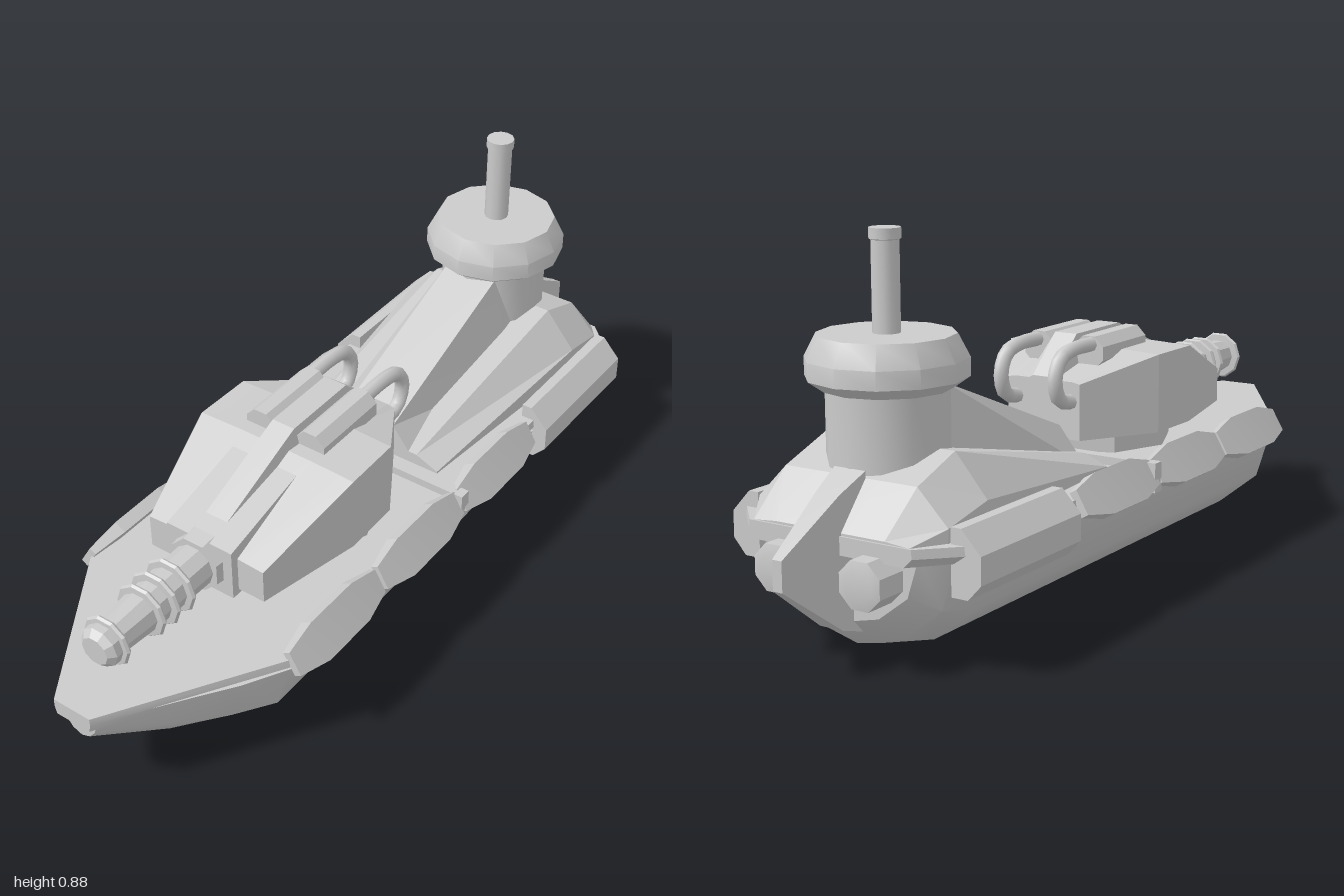
import * as THREE from 'three';
import { toCreasedNormals } from 'three/addons/utils/BufferGeometryUtils.js';

const mat = new THREE.MeshStandardMaterial({ color: 0xcccccc });

function add(parent, name, geometry, x = 0, y = 0, z = 0, crease = 0.6) {
  const mesh = new THREE.Mesh(toCreasedNormals(geometry, crease), mat);
  mesh.name = name;
  mesh.position.set(x, y, z);
  parent.add(mesh);
  return mesh;
}

// Solid through convex rings, ordered by rising z, each counter-clockwise seen from +z
function loft(rings) {
  const n = rings[0].length, idx = [];
  rings.forEach((_, k) => {
    if (k === 0) return;
    for (let i = 0; i < n; i++) {
      const j = (i + 1) % n, a = (k - 1) * n, b = k * n;
      idx.push(a + i, a + j, b + j, a + i, b + j, b + i);
    }
  });
  const last = (rings.length - 1) * n;
  for (let i = 1; i < n - 1; i++) idx.push(0, i + 1, i, last, last + i, last + i + 1);
  const g = new THREE.BufferGeometry();
  g.setAttribute('position', new THREE.Float32BufferAttribute(rings.flat(2), 3));
  g.setIndex(idx);
  return g.toNonIndexed();
}

// Ring mirrored from its +x half, listed bottom to top
const sym = (z, half) => [
  ...half.map(([x, y]) => [x, y, z]),
  ...half.filter(([x]) => x > 0).reverse().map(([x, y]) => [-x, y, z]),
];

// Lathe profile of [radius, distance] pairs turned to run along z
const latheZ = (pts, sides) =>
  new THREE.LatheGeometry(pts.map(([r, d]) => new THREE.Vector2(r, d)), sides)
    .rotateY(Math.PI / sides).rotateX(Math.PI / 2);

function buildHull(g) {
  const section = [[0, 0], [0.14, 0.14], [0.245, 0.48], [0.285, 1]];
  const stations = [[-0.81, 0.7, 0.085], [-0.76, 0.9, 0.025], [-0.68, 1, 0], [0.62, 1, 0],
    [0.72, 0.8, 0.035], [0.8, 0.6, 0.07], [0.98, 0.165, 0.185]];
  add(g, 'hull', loft(stations.map(([z, w, y]) =>
    sym(z, section.map(([x, t]) => [x * w, y + (0.25 - y) * t])))), 0, 0, 0, 0.7);
  // Deck slab with an undercut edge
  const edge = [[-0.845, 0.21], [-0.77, 0.285], [0.62, 0.29], [1, 0.05]];
  add(g, 'deck', loft(edge.map(([z, w]) =>
    sym(z, [[w * 0.9, 0.24], [w, 0.26], [w * 0.99, 0.28]]))), 0, 0, 0, 0.3);
  add(g, 'crossBar', new THREE.BoxGeometry(0.62, 0.07, 0.03), 0, 0.265, -0.035);
}

function buildSides(g) {
  for (const s of [1, -1]) {
    // Tilted side fenders with tapered ends
    for (const z of [0.465, 0.135, -0.195]) {
      const ring = (dz, k) => [[-1, -1], [1, -1], [1, 1], [-1, 1]]
        .map(([a, b]) => [a * 0.016 * k, b * 0.05 * k, dz]);
      const f = add(g, 'fender', loft([ring(-0.16, 0.6), ring(-0.075, 1), ring(0.075, 1),
        ring(0.16, 0.6)]), s * 0.292, 0.272, z, 0.1);
      f.rotation.z = s * 0.53;
    }
    // Rear side pods
    const pod = [[0.25, 0.17], [0.29, 0.17], [0.322, 0.205], [0.322, 0.265], [0.275, 0.315], [0.25, 0.315]]
      .map(([x, y]) => [s * x, y]);
    if (s < 0) pod.reverse();
    add(g, 'sidePod', loft([-0.77, -0.395].map(z => pod.map(([x, y]) => [x, y, z]))), 0, 0, 0, 0.3);
    // Stern thrusters
    add(g, 'thruster', latheZ([[0, -0.89], [0.035, -0.89], [0.055, -0.885], [0.055, -0.76], [0, -0.76]]
      .map(([r, d]) => [r, d]), 8), s * 0.11, 0.2, 0, 0.3);
  }
}

function buildTurret(g) {
  const t = new THREE.Group();
  t.name = 'turret';
  g.add(t);
  add(t, 'turretBase', new THREE.CylinderGeometry(0.19, 0.19, 0.07, 8), 0, 0.305, 0.2, 0.3);
  const body = (z, w, top, wTop) => sym(z, [[w, 0.325], [w, top], [wTop, top + 0.004]]);
  add(t, 'turretBody', loft([body(-0.04, 0.1, 0.46, 0.08), body(0.14, 0.212, 0.515, 0.1),
    body(0.29, 0.215, 0.515, 0.1), body(0.55, 0.16, 0.41, 0.09)]), 0, 0, 0, 0.1);
  add(t, 'ridge', loft([[-0.04, 0.46, 0.47], [0.06, 0.47, 0.56], [0.26, 0.48, 0.56], [0.55, 0.4, 0.44]]
    .map(([z, lo, hi]) => sym(z, [[0.048, lo], [0.03, hi]]))), 0, 0, 0, 0.1);
  add(t, 'mantlet', loft([[0.28, 0.515], [0.57, 0.442]]
    .map(([z, top]) => sym(z, [[0.09, 0.312], [0.09, top]]))), 0, 0, 0, 0.1);

  // Gun barrel with cooling rings
  add(t, 'barrelCollar', latheZ([[0, 0.55], [0.073, 0.55], [0.068, 0.59], [0, 0.59]], 8), 0, 0.38, 0, 0.3);
  add(t, 'barrel', latheZ([[0, 0.57], [0.053, 0.57], [0.05, 0.76], [0.043, 0.86], [0.043, 0.875],
    [0.05, 0.88], [0.05, 0.9], [0.035, 0.915], [0, 0.915]], 10), 0, 0.38, 0, 0.3);
  for (const [z, r] of [[0.67, 0.07], [0.72, 0.07], [0.765, 0.068], [0.875, 0.064]])
    add(t, 'barrelRing', latheZ([[0.035, -0.008], [r - 0.004, -0.006], [r, 0], [r - 0.004, 0.006], [0.035, 0.008]], 10),
      0, 0.38, z, 0.4);

  // Canisters on the roof and their return pipes
  for (const s of [1, -1]) {
    add(t, 'canister', latheZ([[0, 0.05], [0.043, 0.05], [0.043, 0.255], [0, 0.255]], 8), s * 0.07, 0.52, 0, 0.3);
    const path = new THREE.CatmullRomCurve3([[0.06, 0.54], [-0.03, 0.54], [-0.085, 0.525], [-0.108, 0.48],
      [-0.09, 0.43], [-0.03, 0.415]].map(([z, y]) => new THREE.Vector3(s * 0.075, y, z)));
    add(t, 'pipe', new THREE.TubeGeometry(path, 14, 0.018, 8), 0, 0, 0, 0.9);
  }
}

function buildTower(g) {
  const t = new THREE.Group();
  t.name = 'tower';
  g.add(t);
  // Broad low deckhouse, sloping forward and aft
  const house = (z, w, yMid, wTop, yTop) => sym(z, [[w, 0.26], [w, yMid], [wTop, yTop]]);
  add(t, 'deckhouse', loft([house(-0.84, 0.2, 0.28, 0.14, 0.285), house(-0.77, 0.245, 0.31, 0.17, 0.385),
    house(-0.64, 0.25, 0.34, 0.17, 0.432), house(-0.08, 0.2, 0.285, 0.14, 0.31)]), 0, 0, 0, 0.1);
  add(t, 'rampHouse', loft([[-0.64, 0.56], [-0.53, 0.545], [-0.08, 0.368]]
    .map(([z, top]) => sym(z, [[0.14, 0.28], [0.07, top]]))), 0, 0, 0, 0.1);

  const lathe = pts => new THREE.LatheGeometry(pts.map(p => new THREE.Vector2(...p)), 12);
  add(t, 'towerDrum', lathe([[0, 0.28], [0.132, 0.28], [0.132, 0.56], [0, 0.56]]), 0, 0, -0.64);
  add(t, 'towerCap', lathe([[0, 0.548], [0.14, 0.548], [0.174, 0.572], [0.174, 0.612], [0.148, 0.662], [0, 0.662]]),
    0, 0, -0.64, 0.54);
  add(t, 'mast', lathe([[0, 0.65], [0.03, 0.65], [0.03, 0.855], [0.034, 0.857], [0.034, 0.88], [0, 0.88]]), 0, 0, -0.64);

  // Stern fin, tapering aft
  add(t, 'sternFin', loft([[-1, 0.012, 0.2, 0.265], [-0.84, 0.03, 0.08, 0.365], [-0.77, 0.04, 0.06, 0.4]]
    .map(([z, w, lo, hi]) => sym(z, [[w, lo], [w, hi]]))), 0, 0, 0, 0.1);
}

export function createModel() {
  const g = new THREE.Group();
  g.name = 'gunboat';
  buildHull(g);
  buildSides(g);
  buildTurret(g);
  buildTower(g);
  return g;
}
